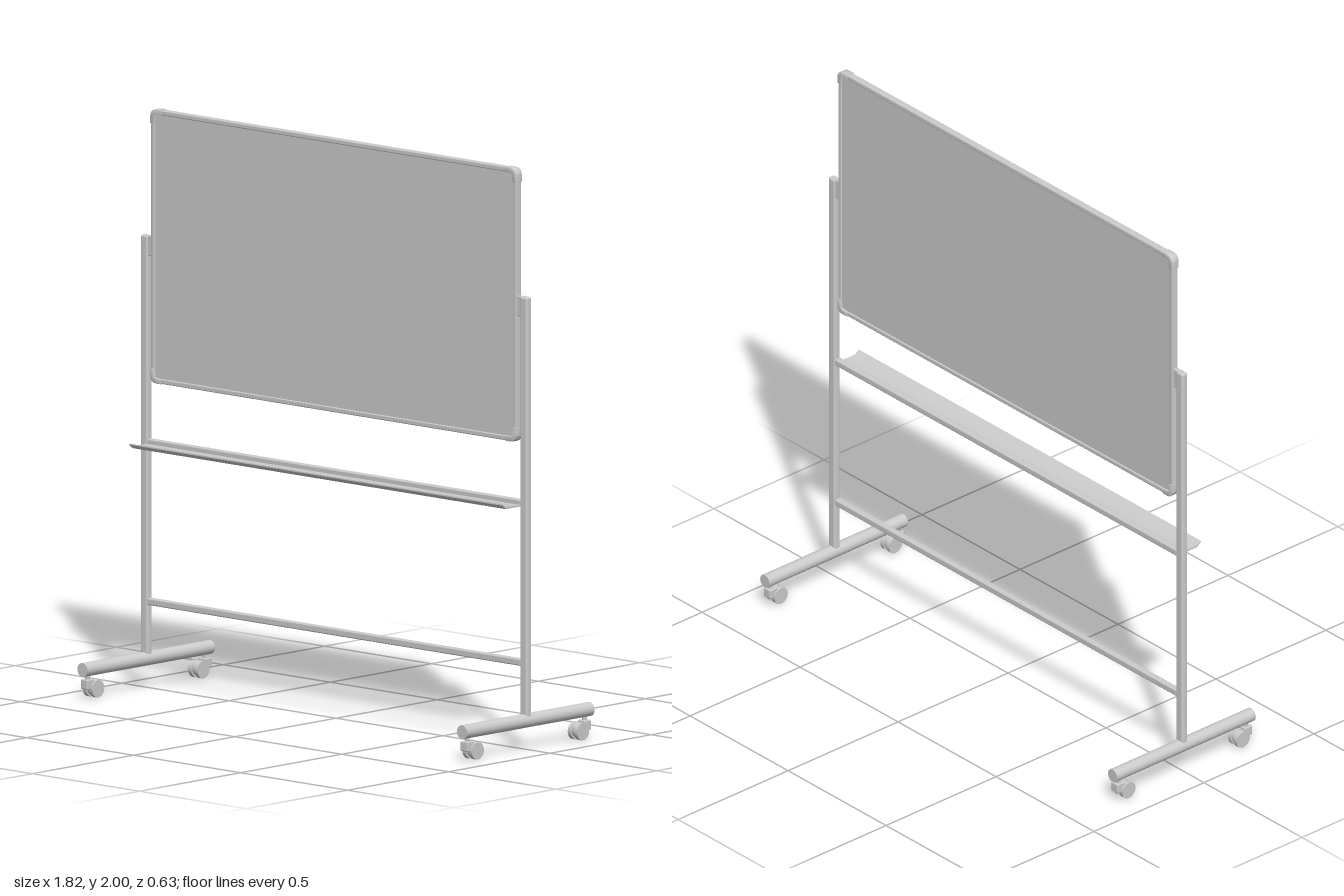
import * as THREE from 'three';
import { RoundedBoxGeometry } from 'three/addons/geometries/RoundedBoxGeometry.js';
import { toCreasedNormals } from 'three/addons/utils/BufferGeometryUtils.js';

const grey = new THREE.MeshStandardMaterial({ color: 0xcccccc });

function add(parent, name, geometry, x = 0, y = 0, z = 0) {
  const mesh = new THREE.Mesh(geometry, grey);
  mesh.name = name;
  mesh.position.set(x, y, z);
  parent.add(mesh);
  return mesh;
}

// Extrusion centred on its depth, with sharp edges kept
function extrude(shape, depth, bevel = 0) {
  const g = new THREE.ExtrudeGeometry(shape, {
    depth: depth - 2 * bevel, curveSegments: 10, bevelEnabled: bevel > 0,
    bevelSize: bevel, bevelThickness: bevel, bevelOffset: -bevel, bevelSegments: 2,
  });
  g.translate(0, 0, -depth / 2 + bevel);
  return toCreasedNormals(g, 0.6);
}

function polygon(points) {
  return new THREE.Shape(points.map(([x, y]) => new THREE.Vector2(x, y)));
}

const BOARD_W = 1.71, BOARD_H = 0.945, BOARD_Y = 1.5275;
const POST_X = 0.887, FOOT_Y = 0.099;

function createBoard() {
  const board = new THREE.Group();
  board.name = 'board';
  board.position.y = BOARD_Y;
  add(board, 'writingPanel', new THREE.BoxGeometry(BOARD_W - 0.03, BOARD_H - 0.03, 0.016));

  // Frame bars between the corner caps
  const w = 0.017, cap = 0.05;
  for (const s of [-1, 1]) {
    add(board, 'frameRail', new RoundedBoxGeometry(BOARD_W - 2 * cap + 0.01, w, 0.026, 2, 0.004),
      0, s * (BOARD_H / 2 - w / 2 - 0.001), 0);
    add(board, 'frameStile', new RoundedBoxGeometry(w, BOARD_H - 2 * cap + 0.01, 0.026, 2, 0.004),
      s * (BOARD_W / 2 - w / 2 - 0.001), 0, 0);
  }

  // L-shaped corner cap with a rounded outside corner at the origin
  const r = 0.025, t = 0.02;
  const corner = new THREE.Shape();
  corner.moveTo(-cap, 0);
  corner.lineTo(-cap, -t + 0.003);
  corner.lineTo(-t, -t);
  corner.lineTo(-t + 0.003, -cap);
  corner.lineTo(0, -cap);
  corner.lineTo(0, -r);
  corner.absarc(-r, -r, r, 0, Math.PI / 2, false);
  const cornerGeo = extrude(corner, 0.032, 0.003);
  for (let i = 0; i < 4; i++) {
    const sx = i === 0 || i === 3 ? 1 : -1, sy = i < 2 ? 1 : -1;
    const m = add(board, 'cornerCap', cornerGeo, sx * BOARD_W / 2, sy * BOARD_H / 2, 0);
    m.rotation.z = i * Math.PI / 2;
  }
  return board;
}

// Twin-wheel caster, trailing towards -z, stem at its origin
function createCaster() {
  const caster = new THREE.Group();
  caster.name = 'caster';
  const stem = new THREE.CylinderGeometry(0.008, 0.008, 0.03, 12);
  add(caster, 'casterStem', stem, 0, 0.07, 0);
  add(caster, 'casterHousing', new RoundedBoxGeometry(0.032, 0.034, 0.034, 2, 0.004), 0, 0.048, 0);
  const hood = new THREE.CylinderGeometry(0.026, 0.026, 0.012, 24).rotateZ(Math.PI / 2);
  add(caster, 'wheelHub', hood, 0, 0.034, -0.03);
  const wheel = new THREE.CylinderGeometry(0.03, 0.03, 0.015, 24).rotateZ(Math.PI / 2);
  for (const s of [-1, 1]) add(caster, 'wheel', wheel, s * 0.0145, 0.03, -0.03);
  return caster;
}

function createSide(s) {
  const side = new THREE.Group();
  side.name = s > 0 ? 'leftStand' : 'rightStand';
  add(side, 'post', new RoundedBoxGeometry(0.034, 1.45, 0.027, 3, 0.008), s * POST_X, 0.835, 0);
  add(side, 'pivotBracket', new RoundedBoxGeometry(0.026, 0.07, 0.018, 2, 0.003), s * 0.862, 1.525, 0);
  const foot = new THREE.CylinderGeometry(0.024, 0.024, 0.63, 24).rotateX(Math.PI / 2);
  add(side, 'foot', foot, s * POST_X, FOOT_Y, 0);
  for (const f of [-1, 1]) {
    const caster = createCaster();
    caster.position.set(s * POST_X, 0, f * 0.29);
    if (f < 0) caster.rotation.y = Math.PI;
    side.add(caster);
  }
  return side;
}

export function createModel() {
  const model = new THREE.Group();
  model.name = 'mobileWhiteboard';
  model.add(createBoard(), createSide(1), createSide(-1));

  // Cross bars between the posts
  const bar = new RoundedBoxGeometry(1.745, 0.024, 0.024, 2, 0.005);
  add(model, 'lowerCrossbar', bar, 0, 0.298, 0);
  add(model, 'trayCrossbar', bar, 0, 0.847, 0);

  // Tray section (forward, up) with an upturned lip, swept across the width
  const section = polygon([
    [0.005, 0.836], [0.082, 0.836], [0.1, 0.85], [0.1, 0.854], [0.08, 0.842], [0.005, 0.842],
  ]);
  const tray = add(model, 'penTray', extrude(section, 1.745));
  tray.rotation.y = -Math.PI / 2;
  return model;
}
